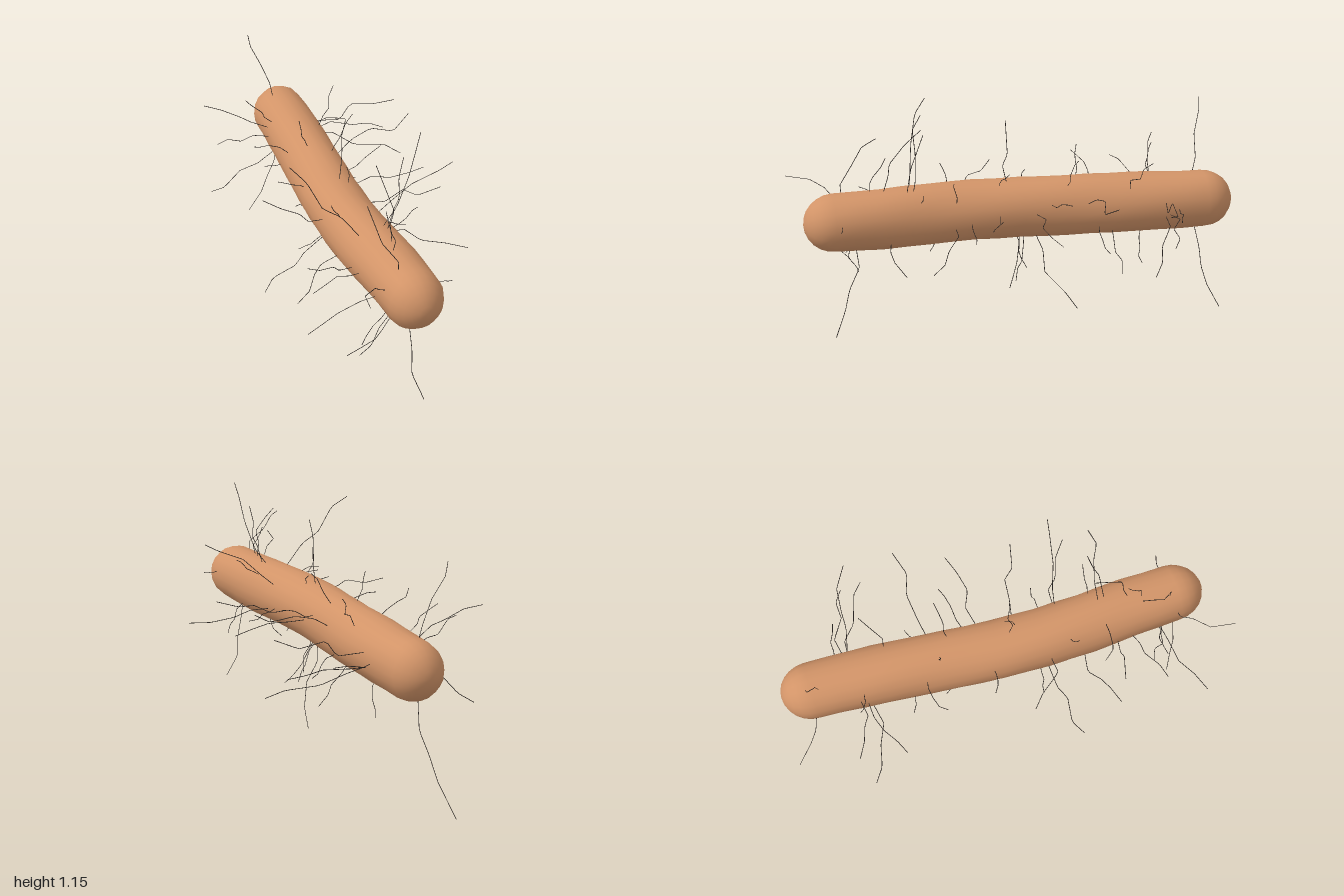
import * as THREE from 'three';
import { mergeVertices } from 'three/addons/utils/BufferGeometryUtils.js';

const CENTER_Y = 0.619;
const RADIUS = 0.134;

// Sideways bend of the rod: z -> x of its axis
const BEND = [[-1, 0.036], [-0.8, 0.027], [-0.4, -0.008], [0, -0.054], [0.2, -0.063], [0.4, -0.061], [0.6, -0.052], [1, -0.052]];
function axisX(z) {
  let i = 0;
  while (i < BEND.length - 2 && z > BEND[i + 1][0]) i++;
  const [z0, x0] = BEND[i], [z1, x1] = BEND[i + 1];
  return THREE.MathUtils.lerp(x0, x1, (z - z0) / (z1 - z0));
}

// Small seeded generator, -1 to 1
let seed = 7;
function jitter() {
  seed = (seed * 16807) % 2147483647;
  return (seed / 2147483647) * 2 - 1;
}

// Hair tips (x, y, z) and the z of each root
const HAIRS = [
  [-0.09, 0, -1, -0.82], [0.005, 0.09, 0.84, 0.73], [0.145, 1.153, 0.46, 0.47], [-0.39, 1.05, 0.35, 0.47],
  [-0.115, 1.055, -0.86, -0.81], [-0.015, 1.045, 0.06, 0.05], [-0.04, 1.02, 0.43, 0.6], [0.08, 1.04, 0.44, 0.5],
  [-0.16, 0.955, 0.61, 0.78], [0.35, 0.91, 0.36, 0.29], [0.145, 0.89, -0.23, -0.21], [0.47, 0.78, -0.32, -0.29],
  [0.5, 0.737, -0.54, -0.64], [0.38, 0.69, 0.2, 0.1], [0.46, 0.575, -0.58, -0.66], [0.39, 0.523, 0.46, 0.3],
  [0.51, 0.472, -0.48, -0.64], [0.16, 0.19, -0.23, -0.07], [0.22, 0.365, -0.42, -0.41], [0.11, 0.3, 0.07, 0.0],
  [0.06, 0.31, 0.03, -0.02], [-0.23, 0.295, 0.7, 0.76], [-0.3, 0.335, 0.73, 0.8], [-0.39, 0.355, -0.69, -0.6],
  [-0.48, 0.4, 0.26, 0.19], [-0.41, 0.45, 0.46, 0.36], [-0.51, 0.565, 0.82, 0.72], [-0.42, 0.635, 0.66, 0.58],
  [-0.4, 0.725, 0.05, 0.2], [-0.39, 0.8, -0.73, -0.65], [-0.4, 0.7, -0.53, -0.62], [-0.3, 0.78, -0.31, -0.35],
  [-0.32, 0.755, 1, 0.8], [0.44, 0.62, -0.09, -0.06],
];

// Kinked hair from the surface to its tip
function makeHair(tip, rootZ, material) {
  const cx = axisX(rootZ);
  const angle = Math.atan2(tip.y - CENTER_Y, tip.x - cx) + jitter() * 0.12;
  const root = new THREE.Vector3(cx + Math.cos(angle) * 0.125, CENTER_Y + Math.sin(angle) * 0.128, rootZ);
  const wobble = root.distanceTo(tip) * 0.07;
  const points = [root];
  for (const t of [0.25, 0.5, 0.75]) {
    const p = root.clone().lerp(tip, t);
    // the hair leaves along the surface normal, then drifts to the tip's z
    p.z = THREE.MathUtils.lerp(rootZ, tip.z, t * t);
    points.push(p.add(new THREE.Vector3(jitter(), jitter(), jitter()).multiplyScalar(wobble)));
  }
  points.push(tip);
  const path = new THREE.CatmullRomCurve3(points, false, 'catmullrom', 0);
  const hair = new THREE.Mesh(new THREE.TubeGeometry(path, 16, 0.0015, 4), material);
  hair.name = 'hair';
  return hair;
}

// Bent, slightly uneven rod with rounded ends
function makeBody() {
  let geometry = new THREE.CapsuleGeometry(RADIUS, 1.93 - RADIUS * 2, 6, 20, 16);
  geometry.deleteAttribute('uv');
  geometry.deleteAttribute('normal');
  geometry = mergeVertices(geometry.rotateX(Math.PI / 2), 1e-4);
  const pos = geometry.attributes.position;
  for (let i = 0; i < pos.count; i++) {
    const x = pos.getX(i), y = pos.getY(i), z = pos.getZ(i) - 0.01;
    const a = Math.atan2(y, x);
    const lump = 1 + 0.012 * Math.sin(3 * a + z * 9) + 0.01 * Math.sin(7 * a - z * 23);
    const taper = 1 - 0.05 * THREE.MathUtils.smoothstep(Math.abs(z), 0.5, 0.85);
    pos.setXYZ(i, axisX(z) + x * lump * taper * 0.98, CENTER_Y + y * lump * taper * 1.01, z);
  }
  geometry.computeVertexNormals();
  const body = new THREE.Mesh(geometry, new THREE.MeshStandardMaterial({ color: 0xd29468 }));
  body.name = 'body';
  return body;
}

export function createModel() {
  seed = 7;
  const model = new THREE.Group();
  model.name = 'rodBacterium';
  model.add(makeBody());

  const hairs = new THREE.Group();
  hairs.name = 'hairs';
  const material = new THREE.MeshStandardMaterial({ color: 0x2a2522 });
  for (const [x, y, z, rootZ] of HAIRS) hairs.add(makeHair(new THREE.Vector3(x, y, z), rootZ, material));

  // Shorter hairs spread around the rod
  const count = 22;
  for (let i = 0; i < count; i++) {
    const rootZ = -0.7 + (1.5 * i) / (count - 1);
    const angle = i * 2.4;
    const reach = 0.25 + 0.07 * jitter();
    const tip = new THREE.Vector3(axisX(rootZ) + Math.cos(angle) * reach, CENTER_Y + Math.sin(angle) * reach, rootZ + jitter() * 0.08);
    hairs.add(makeHair(tip, rootZ, material));
  }
  model.add(hairs);
  return model;
}
